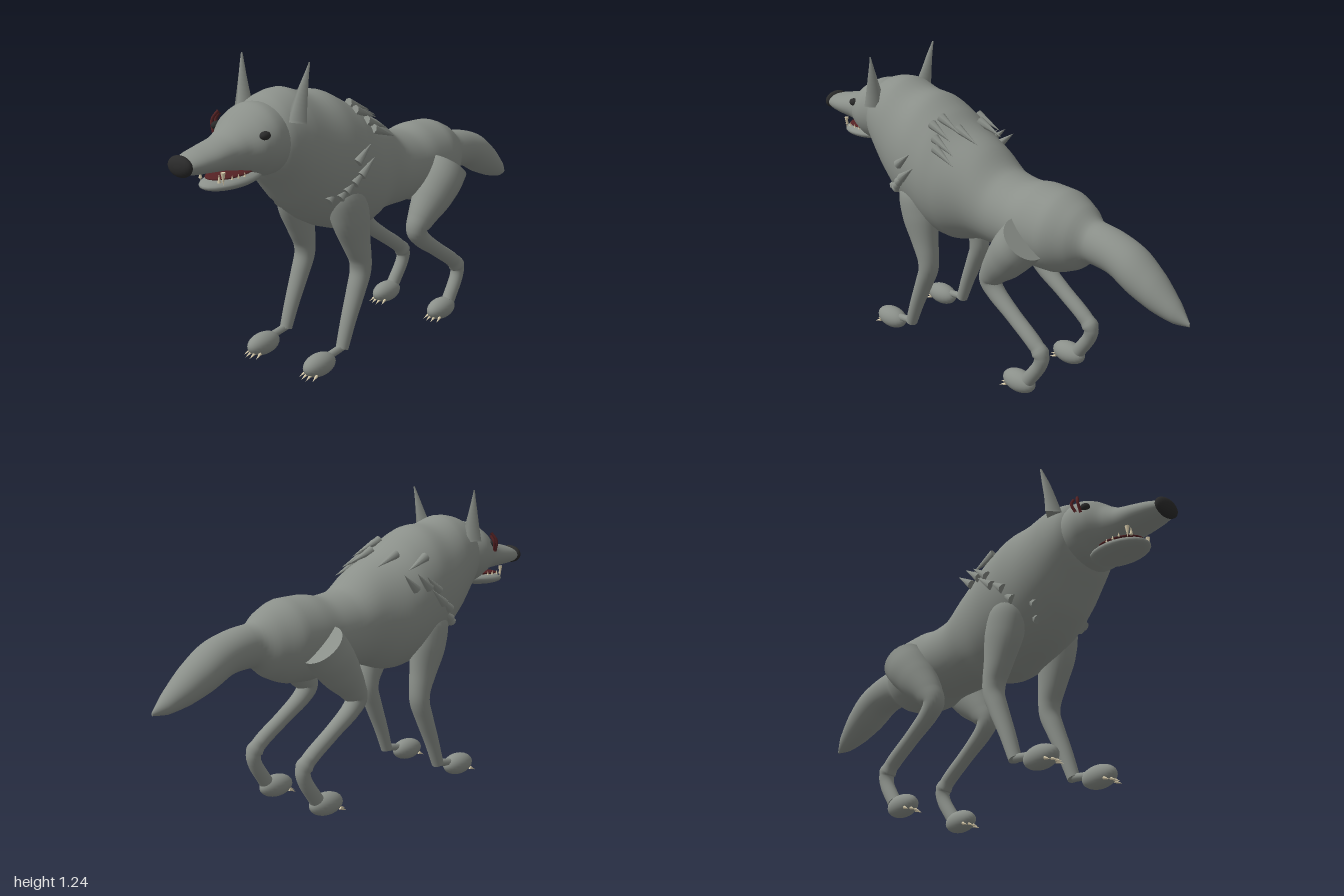
import * as THREE from 'three';

const mat = (name, color) => {
  const m = new THREE.MeshStandardMaterial({ color });
  m.name = name;
  return m;
};

// Smooth skin through sections [x, y, z, halfWidth, halfDepth]; rings stay upright (running to -z) or follow the path.
function loft(sections, { upright = false, steps = 5, sides = 28 } = {}) {
  const n = sections.length;
  const path = new THREE.CatmullRomCurve3(sections.map(s => new THREE.Vector3(s[0], s[1], s[2])));
  const size = new THREE.CatmullRomCurve3(sections.map(s => new THREE.Vector3(s[3], s[4], 0)));
  const rows = (n - 1) * steps, pos = [], idx = [];
  const X = new THREE.Vector3(1, 0, 0);
  for (let i = 0; i <= rows; i++) {
    const t = i / rows, c = path.getPoint(t), r = size.getPoint(t);
    const T = path.getTangent(t).setX(0).normalize();
    const N = upright ? new THREE.Vector3(0, -1, 0) : T.clone().cross(X);
    for (let j = 0; j < sides; j++) {
      const a = j / sides * Math.PI * 2;
      const p = c.clone().addScaledVector(X, Math.cos(a) * r.x).addScaledVector(N, Math.sin(a) * r.y);
      pos.push(p.x, p.y, p.z);
      if (i < rows) {
        const k = (j + 1) % sides, A = i * sides, B = A + sides;
        idx.push(A + j, A + k, B + j, A + k, B + k, B + j);
      }
    }
  }
  // end caps with their own rim, so the edge stays sharp
  for (const [row, flip] of [[0, true], [rows, false]]) {
    const c = path.getPoint(row / rows), v = pos.length / 3;
    pos.push(c.x, c.y, c.z, ...pos.slice(row * sides * 3, (row + 1) * sides * 3));
    for (let j = 0; j < sides; j++) {
      const a = v + 1 + j, b = v + 1 + (j + 1) % sides;
      idx.push(v, flip ? b : a, flip ? a : b);
    }
  }
  const g = new THREE.BufferGeometry();
  g.setAttribute('position', new THREE.Float32BufferAttribute(pos, 3));
  g.setIndex(idx);
  g.computeVertexNormals();
  return g;
}

// Profile rows [z, top, bottom, halfWidth] to sections
const profile = rows => rows.map(([z, t, b, w]) => [0, (t + b) / 2, z, w, (t - b) / 2]);

const BODY = profile([
  [0.64, 1.04, 0.87, 0.08], [0.58, 1.11, 0.79, 0.155], [0.48, 1.13, 0.665, 0.188], [0.39, 1.103, 0.59, 0.208],
  [0.29, 1.092, 0.54, 0.222], [0.2, 1.047, 0.51, 0.225], [0.12, 0.995, 0.505, 0.214], [0.0, 0.94, 0.54, 0.175],
  [-0.1, 0.868, 0.545, 0.16], [-0.2, 0.85, 0.545, 0.16], [-0.3, 0.863, 0.52, 0.165], [-0.4, 0.86, 0.525, 0.162],
  [-0.49, 0.825, 0.56, 0.122], [-0.56, 0.78, 0.61, 0.08], [-0.66, 0.765, 0.6, 0.082], [-0.75, 0.735, 0.555, 0.085],
  [-0.85, 0.665, 0.515, 0.07], [-0.94, 0.58, 0.495, 0.04], [-1.0, 0.515, 0.5, 0.004],
]);

const HEAD = profile([
  [0.98, 0.93, 0.905, 0.015], [0.97, 0.948, 0.89, 0.05], [0.92, 0.966, 0.882, 0.07], [0.86, 0.98, 0.878, 0.082],
  [0.79, 1.0, 0.872, 0.088], [0.74, 1.03, 0.862, 0.105], [0.69, 1.07, 0.845, 0.142], [0.63, 1.095, 0.82, 0.157],
  [0.57, 1.085, 0.82, 0.145], [0.5, 1.02, 0.86, 0.08],
]);

const FORELEG = [
  [0.12, 0.78, 0.29, 0.05, 0.05], [0.138, 0.69, 0.285, 0.074, 0.088], [0.147, 0.6, 0.265, 0.066, 0.086],
  [0.15, 0.5, 0.238, 0.053, 0.064], [0.153, 0.42, 0.216, 0.046, 0.046], [0.154, 0.37, 0.216, 0.044, 0.041],
  [0.155, 0.3, 0.242, 0.04, 0.037], [0.156, 0.18, 0.292, 0.032, 0.03], [0.157, 0.075, 0.33, 0.026, 0.025],
];
const HINDLEG = [
  [0.155, 0.69, -0.335, 0.092, 0.096], [0.157, 0.64, -0.293, 0.094, 0.094], [0.155, 0.57, -0.235, 0.083, 0.083],
  [0.152, 0.5, -0.175, 0.06, 0.06], [0.15, 0.45, -0.145, 0.045, 0.045], [0.15, 0.41, -0.17, 0.039, 0.038],
  [0.152, 0.33, -0.28, 0.032, 0.031], [0.154, 0.25, -0.395, 0.031, 0.031], [0.154, 0.21, -0.43, 0.031, 0.031],
  [0.155, 0.17, -0.425, 0.029, 0.029], [0.158, 0.075, -0.365, 0.028, 0.03],
];

// Point and outward normal on the torso; angle runs from the spine towards +x
function onTorso(z, degrees) {
  const i = BODY.findIndex(s => s[2] <= z), a = BODY[i - 1], b = BODY[i];
  const t = (z - a[2]) / (b[2] - a[2]);
  const [, cy, , w, h] = a.map((v, k) => v + (b[k] - v) * t);
  const r = THREE.MathUtils.degToRad(degrees), s = Math.sin(r), c = Math.cos(r);
  return [new THREE.Vector3(w * s, cy + h * c, z), new THREE.Vector3(s / w, c / h, 0).normalize()];
}

export function createModel() {
  const wolf = new THREE.Group();
  wolf.name = 'wolf';
  const fur = mat('grey fur', 0x8b908a);
  const black = mat('nose and eye black', 0x2b2b2b);
  const red = mat('dark red', 0x552224);
  const ivory = mat('ivory', 0xdccfae);
  const UP = new THREE.Vector3(0, 1, 0);

  const add = (name, geometry, material) => {
    const m = new THREE.Mesh(geometry, material);
    m.name = name;
    wolf.add(m);
    return m;
  };
  const ball = (name, material, p, r) => {
    const m = add(name, new THREE.SphereGeometry(1, 24, 16), material);
    m.position.set(...p);
    m.scale.set(...r);
    return m;
  };
  // Cone whose base is centred on p and which points along dir
  const spike = (name, material, p, dir, radius, length, sides = 8) => {
    const g = new THREE.ConeGeometry(radius, length, sides).translate(0, length / 2, 0);
    const m = add(name, g, material);
    m.position.copy(p);
    m.quaternion.setFromUnitVectors(UP, dir.clone().normalize());
  };
  const V = (x, y, z) => new THREE.Vector3(x, y, z);

  add('torsoAndTail', loft(BODY, { upright: true, sides: 40 }), fur);
  add('head', loft(HEAD, { upright: true, sides: 36 }), fur);

  // Nose, jaw and mouth
  ball('nose', black, [0, 0.922, 0.975], [0.06, 0.039, 0.025]);
  ball('lowerJaw', fur, [0, 0.832, 0.745], [0.086, 0.028, 0.135]).rotation.x = 0.06;
  ball('mouth', red, [0, 0.858, 0.745], [0.07, 0.011, 0.11]).rotation.x = 0.06;

  for (const s of [-1, 1]) {
    const side = s > 0 ? 'left' : 'right';
    ball(side + 'Eye', black, [s * 0.128, 1.0, 0.692], [0.018, 0.016, 0.022]);

    // Ear: a flattened four-sided cone, leaning outwards
    const ear = [[0.138, 1.025, 0.546, 0.054, 0.036], [0.144, 1.075, 0.539, 0.043, 0.029],
      [0.16, 1.16, 0.526, 0.022, 0.02], [0.176, 1.243, 0.512, 0.002, 0.004]];
    add(side + 'Ear', loft(ear.map(([x, ...r]) => [s * x, ...r]), { sides: 4 }), fur);

    // Fangs above and below, with small teeth behind
    spike(side + 'UpperFang', ivory, V(s * 0.06, 0.882, 0.835), V(0, -1, 0), 0.009, 0.05);
    spike(side + 'LowerFang', ivory, V(s * 0.05, 0.845, 0.845), V(0, 1, 0), 0.007, 0.033);
    for (let i = 0; i < 3; i++)
      spike(side + 'Tooth', ivory, V(s * 0.068, 0.85, 0.8 - i * 0.03), V(0, 1, 0), 0.005, 0.018, 6);

    // Legs, paws and claws
    for (const [name, rows, ankle, pawZ] of [['Foreleg', FORELEG, 0.33, 0.46], ['HindLeg', HINDLEG, -0.365, -0.315]]) {
      add(side + name, loft(rows.map(([x, ...r]) => [s * x, ...r])), fur);
      const wrist = new THREE.LineCurve3(V(s * 0.157, 0.08, ankle), V(s * 0.158, 0.06, pawZ));
      add(side + name + 'Wrist', new THREE.TubeGeometry(wrist, 2, 0.016, 10), fur);
      ball(side + name + 'Paw', fur, [s * 0.156, 0.05, pawZ], [0.046, 0.046, 0.08]);
      for (const c of [-1.5, -0.5, 0.5, 1.5])
        spike(side + name + 'Claw', ivory, V(s * 0.156 + c * 0.02, 0.027, pawZ + 0.066 - Math.abs(c) * 0.013),
          V(c * 0.12, -0.45, 1), 0.007, 0.034, 6);
    }
  }

  // Scar strokes beside the right eye
  for (const pts of [
    [V(-0.142, 1.05, 0.668), V(-0.16, 1.015, 0.685), V(-0.15, 0.968, 0.69)],
    [V(-0.15, 1.04, 0.655), V(-0.168, 1.01, 0.66), V(-0.158, 0.975, 0.672)],
  ]) add('scar', new THREE.TubeGeometry(new THREE.CatmullRomCurve3(pts), 10, 0.006, 8), red);

  // Fur tufts [z, angle], lying back against the coat
  const tufts = [
    [0.41, 128], [0.37, 120], [0.35, 113], [0.32, 104], [0.29, 96], [0.31, 86],
    [0.2, 20], [0.21, 32], [0.17, 40], [0.13, 14], [0.15, 47],
    [0.43, -138], [0.41, -150], [0.36, -118], [0.33, -104], [0.28, -94], [0.25, -80],
    [0.2, -72], [0.14, -66], [0.23, -46], [0.14, -22],
  ];
  for (const [z, angle] of tufts) {
    const [p, n] = onTorso(z, angle);
    const onSide = Math.abs(angle) > 60;
    const dir = n.clone().multiplyScalar(onSide ? 0.06 : 0.12).add(V(0, onSide ? 0.75 : -0.45, -0.9));
    spike('furTuft', fur, p.addScaledVector(n, 0.004), dir, 0.02, onSide ? 0.1 : 0.125);
  }
  return wolf;
}
